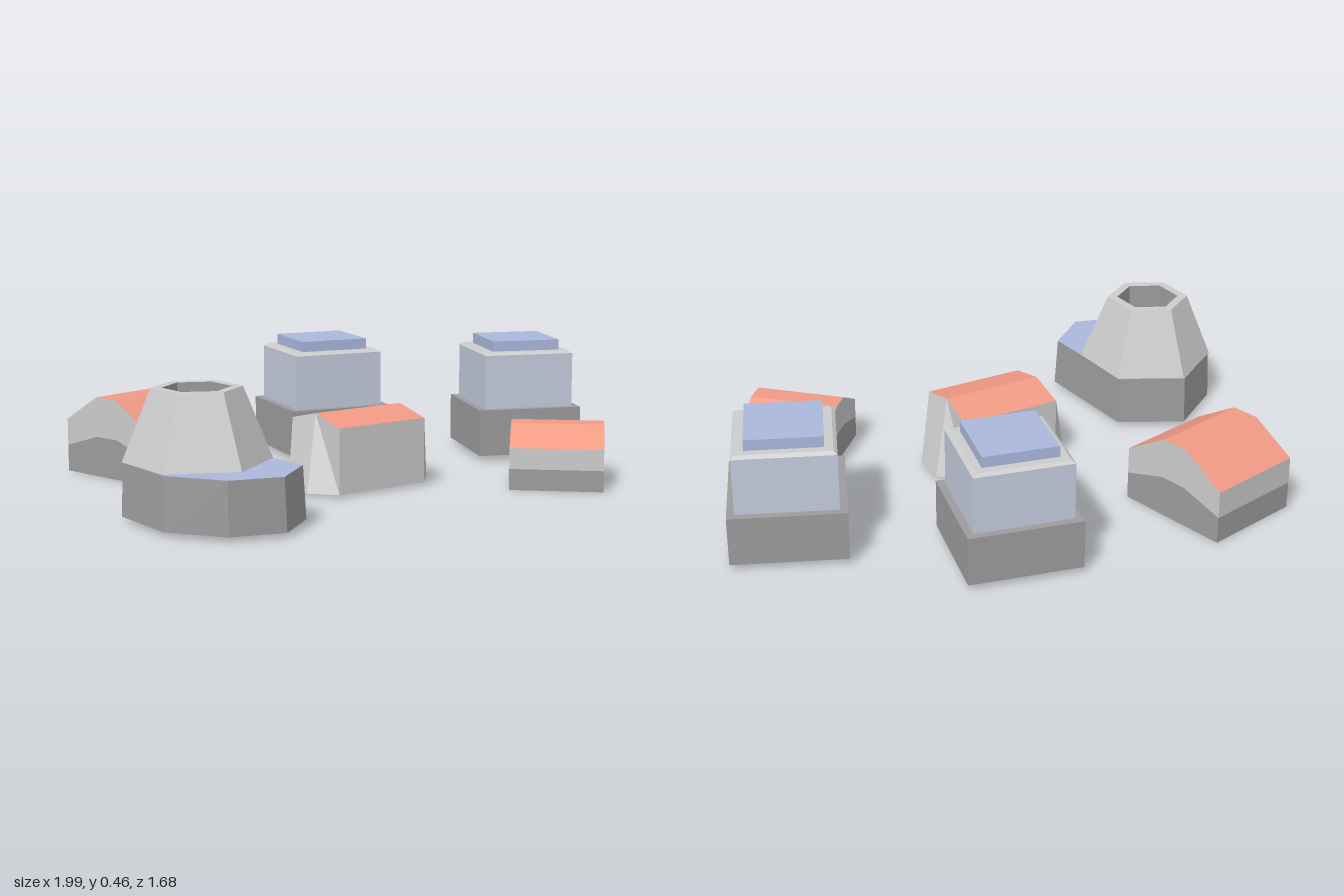
import * as THREE from 'three';

const GREY = 0xcccccc, DARK = 0x9c9c9c, RED = 0xf09a85, BLUE = 0xaab8dc, PALE = 0xc4cbdd;

const material = (color) =>
  new THREE.MeshStandardMaterial({ color, flatShading: true, side: THREE.DoubleSide });

function add(parent, name, geometry, color) {
  const mesh = new THREE.Mesh(geometry, material(color));
  mesh.name = name;
  parent.add(mesh);
  return mesh;
}

// Flat polygons, each a loop of [x, y, z] corners, counter-clockwise from outside
function panels(polygons) {
  const positions = [];
  for (const p of polygons)
    for (let i = 1; i < p.length - 1; i++) positions.push(...p[0], ...p[i], ...p[i + 1]);
  const geometry = new THREE.BufferGeometry();
  geometry.setAttribute('position', new THREE.Float32BufferAttribute(positions, 3));
  geometry.computeVertexNormals();
  return geometry;
}

// Faceted ring from a [radius, height] profile
function faceted(profile, sides, start) {
  return new THREE.LatheGeometry(profile.map(([r, y]) => new THREE.Vector2(r, y)), sides, start);
}

function place(root, name, x, z, turn) {
  const group = new THREE.Group();
  group.name = name;
  group.position.set(x, 0, z);
  group.rotation.y = turn;
  root.add(group);
  return group;
}

// Square tower: hollow base, narrower body, chamfered rim and raised roof block
function buildTower(root, name, x, z, turn) {
  const tower = place(root, name, x, z, turn);
  const square = (profile) =>
    faceted(profile.map(([half, y]) => [half * Math.SQRT2, y]), 4, Math.PI / 4);
  add(tower, 'towerBase', square([[0.205, 0.02], [0.205, 0.2], [0.178, 0.2]]), DARK);
  add(tower, 'towerBody', square([[0.178, 0.2], [0.178, 0.41]]), PALE);
  add(tower, 'towerRim', square([[0.178, 0.41], [0.165, 0.42], [0.135, 0.42]]), GREY);
  add(tower, 'towerRoof', square([[0.135, 0.42], [0.135, 0.46], [0, 0.46]]), BLUE);
}

// House: two-tone walls under a three-sided roof, open below
function buildHouse(root, name, x, z, turn, width, depth, eave, top) {
  const house = place(root, name, x, z, turn);
  const w = width / 2, d = depth / 2, k = depth * 0.12;
  const profile = [[d, eave], [k, top], [-k, top], [-d, eave]];
  const lower = [], upper = [], roof = [];
  const band = (list, a, b, s0, s1) => {
    for (const side of [1, -1]) {
      const quad = [[side * w, a[1] * s0, a[0]], [side * w, b[1] * s0, b[0]],
        [side * w, b[1] * s1, b[0]], [side * w, a[1] * s1, a[0]]];
      list.push(side > 0 ? quad : quad.reverse());
    }
  };
  for (let i = 0; i < 3; i++) {
    const a = profile[i], b = profile[i + 1];
    band(lower, a, b, 0, 0.5);
    band(upper, a, b, 0.5, 1);
    roof.push([[-w, a[1], a[0]], [w, a[1], a[0]], [w, b[1], b[0]], [-w, b[1], b[0]]]);
  }
  for (const s of [1, -1]) {
    const wall = (y0, y1) => [[-s * w, y0, s * d], [s * w, y0, s * d], [s * w, y1, s * d], [-s * w, y1, s * d]];
    lower.push(wall(0, eave / 2));
    upper.push(wall(eave / 2, eave));
  }
  add(house, 'lowerWalls', panels(lower), DARK);
  add(house, 'upperWalls', panels(upper), GREY);
  add(house, 'houseRoof', panels(roof), RED);
}

// Hall: low gable roof, flared three-panel ends and a door panel at the back
function buildHall(root) {
  const hall = place(root, 'hall', 0.01, 0.087, 0.376);
  const w = 0.19, d = 0.147, eave = 0.25, top = 0.285, floor = 0.01, endX = 0.27, endZ = 0.06;
  const walls = [], roof = [];
  for (const s of [1, -1]) {
    walls.push([[-s * w, floor, s * d], [s * w, floor, s * d], [s * w, eave, s * d], [-s * w, eave, s * d]]);
    roof.push([[-s * w, eave, s * d], [s * w, eave, s * d], [s * w, top, 0], [-s * w, top, 0]]);
    // End panels meet at the ridge
    const ridge = [s * w, top, 0];
    walls.push([[s * endX, floor, s * endZ], [s * endX, floor, -s * endZ], ridge]);
    for (const t of [1, -1]) {
      const foot = [s * w, floor, t * d], mid = [s * endX, floor, t * endZ], corner = [s * w, eave, t * d];
      const fan = [mid, ridge, corner, foot];
      walls.push(s * t > 0 ? fan : fan.reverse());
    }
  }
  add(hall, 'hallWalls', panels(walls), GREY);
  add(hall, 'hallRoof', panels(roof), RED);
  const door = add(hall, 'doorPanel', new THREE.BoxGeometry(0.25, 0.19, 0.016), PALE);
  door.position.set(-0.008, 0.105, -d - 0.007);
}

// Silo: hexagonal cone with an open mouth on a longer base
function buildSilo(root) {
  const silo = place(root, 'silo', -0.65, 0.48, 0);
  const outline = [[-0.25, -0.02], [-0.15, 0.23], [0.035, 0.355], [0.225, 0.34],
    [0.325, 0.165], [0.14, -0.21], [-0.11, -0.235]];
  const flare = 1.03;
  const low = outline.map(([x, z]) => [x * flare, 0.015, z * (z > 0.3 ? 1.01 : flare)]);
  const high = outline.map(([x, z]) => [x, 0.2, z]);
  const sides = outline.map((_, i) => {
    const j = (i + 1) % outline.length;
    return [low[i], low[j], high[j], high[i]];
  });
  add(silo, 'siloBase', panels(sides), DARK);
  add(silo, 'siloTerrace', panels([high]), BLUE);
  add(silo, 'siloCone', faceted([[0.255, 0.2], [0.155, 0.45], [0.118, 0.45]], 6, 0.43), GREY);
  add(silo, 'siloMouth', faceted([[0.118, 0.45], [0.118, 0.3], [0, 0.3]], 6, 0.43), DARK);
}

export function createModel() {
  const root = new THREE.Group();
  root.name = 'settlement';
  buildTower(root, 'backTower', 0.037, -0.607, 0.165);
  buildTower(root, 'leftTower', 0.787, -0.415, -0.02);
  buildHouse(root, 'backHouse', -0.717, -0.36, 0.61, 0.373, 0.436, 0.2, 0.3);
  buildHouse(root, 'frontHouse', 0.733, 0.22, -0.37, 0.339, 0.337, 0.155, 0.225);
  buildHall(root);
  buildSilo(root);
  return root;
}
